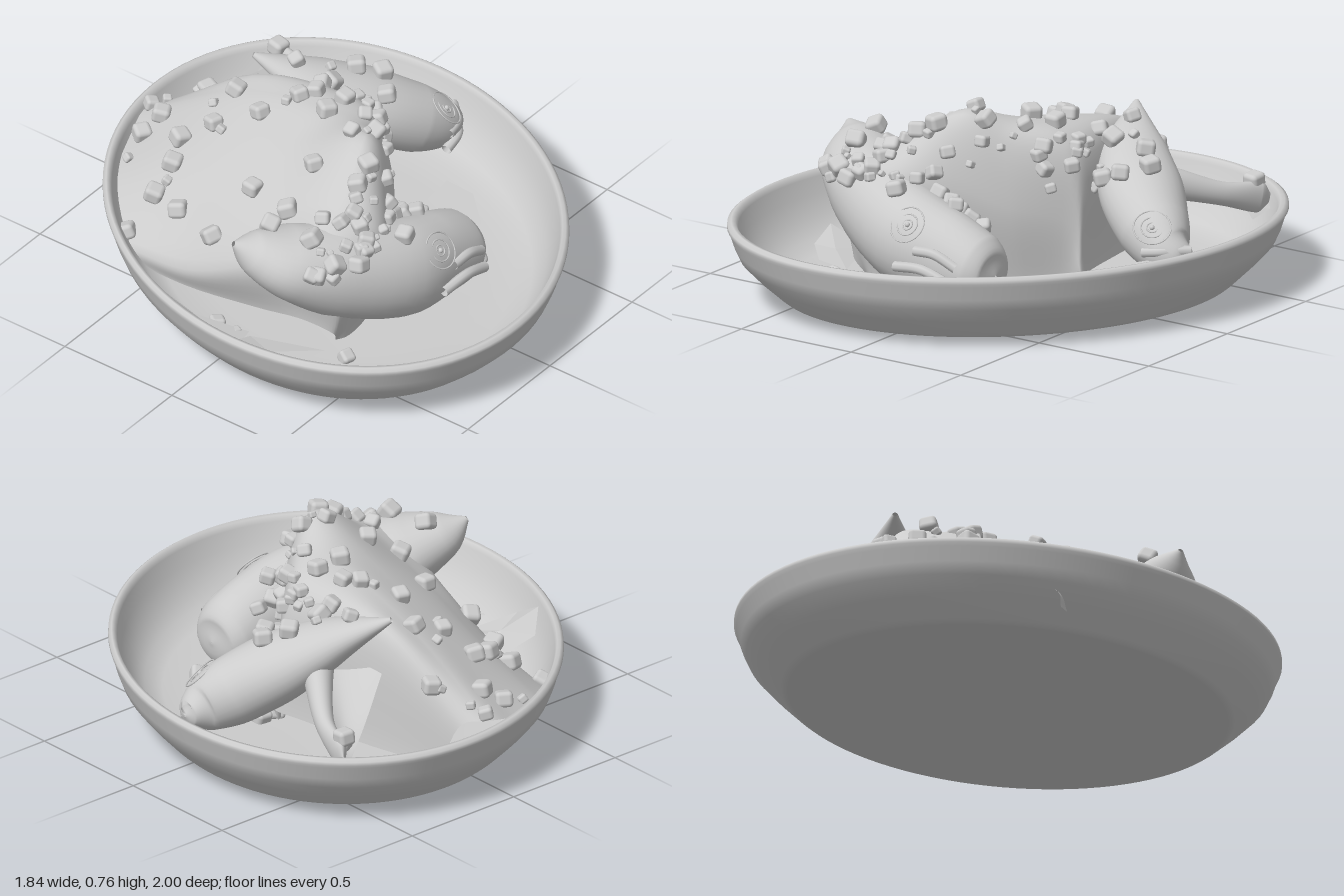
import * as THREE from 'three';
import { ParametricGeometry } from 'three/addons/geometries/ParametricGeometry.js';
import { RoundedBoxGeometry } from 'three/addons/geometries/RoundedBoxGeometry.js';

const V = (x, y, z) => new THREE.Vector3(x, y, z);
const spline = (pts) => new THREE.CatmullRomCurve3(pts.map((p) => V(...p)));

// Smooth sheet through a net of points
function sheetGeometry(rows) {
  const curves = rows.map(spline);
  return new ParametricGeometry((u, v, out) => {
    new THREE.CatmullRomCurve3(curves.map((c) => c.getPoint(u))).getPoint(v, out);
  }, 36, 36);
}

// Round body: each section is [x, y, z, half width, half height]
function bodyGeometry(sections) {
  const spine = spline(sections.map((s) => s.slice(0, 3)));
  const size = spline(sections.map((s) => [s[3], s[4], 0]));
  return new ParametricGeometry((u, v, out) => {
    const c = spine.getPoint(v), r = size.getPoint(v), t = spine.getTangent(v);
    const side = t.clone().cross(V(0, 1, 0)).normalize();
    const up = side.clone().cross(t);
    const a = u * Math.PI * 2;
    out.copy(c).addScaledVector(side, r.x * Math.cos(a)).addScaledVector(up, r.y * Math.sin(a));
  }, 28, 36);
}

export function createModel() {
  const model = new THREE.Group();
  model.name = 'fishDish';
  const grey = new THREE.MeshStandardMaterial({ color: 0xcccccc, side: THREE.DoubleSide });
  grey.name = 'plainGrey';
  const add = (name, geometry, parent = model) => {
    const mesh = new THREE.Mesh(geometry, grey);
    mesh.name = name;
    parent.add(mesh);
    return mesh;
  };
  let seed = 7;
  const rand = () => (seed = (seed * 16807) % 2147483647) / 2147483647;

  // Oval dish, its long axis turned toward the back right
  const profile = [[0, 0], [0.45, 0.006], [0.8, 0.022], [0.815, 0.026], [0.83, 0.038], [0.9, 0.105],
    [0.955, 0.165], [0.975, 0.21], [0.992, 0.265], [1, 0.278], [0.999, 0.292], [0.985, 0.302],
    [0.97, 0.3], [0.96, 0.28], [0.94, 0.22], [0.9, 0.15], [0.84, 0.09], [0.76, 0.065], [0.6, 0.055], [0, 0.05]];
  const dishGeometry = new THREE.LatheGeometry(profile.map((p) => new THREE.Vector2(...p)), 96);
  dishGeometry.scale(1.066, 1, 0.842).rotateY(0.969);
  const dish = add('dish', dishGeometry);

  // Large draped slab: rows run from the back edge over the ridge to the hollow front
  const slab = add('drapedSlab', sheetGeometry([
    [[-0.51, 0.08, -0.59], [-0.51, 0.13, -0.61], [-0.33, 0.21, -0.79], [-0.1, 0.26, -0.89], [0.05, 0.3, -0.92], [0.13, 0.29, -0.86], [0.17, 0.1, -0.78]],
    [[-0.51, 0.08, -0.3], [-0.53, 0.17, -0.3], [-0.3, 0.36, -0.45], [-0.06, 0.49, -0.5], [0.08, 0.55, -0.5], [0.19, 0.56, -0.5], [0.25, 0.1, -0.48]],
    [[-0.48, 0.1, 0], [-0.53, 0.32, 0], [-0.35, 0.46, -0.05], [-0.1, 0.6, -0.1], [0.07, 0.65, -0.1], [0.25, 0.59, -0.15], [0.3, 0.1, -0.15]],
    [[-0.5, 0.16, 0.24], [-0.53, 0.46, 0.26], [-0.3, 0.58, 0.27], [-0.06, 0.72, 0.2], [0.08, 0.65, 0.12], [0.27, 0.55, -0.04], [0.32, 0.1, -0.04]],
    [[-0.46, 0.12, 0.34], [-0.46, 0.38, 0.39], [-0.25, 0.48, 0.4], [-0.01, 0.45, 0.27], [0.13, 0.38, 0.17], [0.28, 0.3, 0], [0.32, 0.1, -0.02]],
    [[-0.42, 0.06, 0.32], [-0.38, 0.06, 0.34], [-0.22, 0.06, 0.32], [-0.01, 0.06, 0.2], [0.13, 0.06, 0.12], [0.26, 0.06, 0], [0.31, 0.06, -0.03]],
  ]));

  // Two whole fish and a loose tail
  const frontFish = add('frontFish', bodyGeometry([
    [-0.69, 0.54, 0.05, 0.01, 0.01], [-0.63, 0.49, 0.09, 0.09, 0.08], [-0.54, 0.43, 0.17, 0.16, 0.13],
    [-0.38, 0.35, 0.29, 0.17, 0.18], [-0.15, 0.27, 0.4, 0.17, 0.19], [0.04, 0.23, 0.42, 0.15, 0.17],
    [0.17, 0.2, 0.42, 0.14, 0.14], [0.23, 0.19, 0.42, 0.1, 0.09], [0.245, 0.19, 0.42, 0.005, 0.005]]));
  const sideFish = add('sideFish', bodyGeometry([
    [0.2, 0.625, -0.54, 0.01, 0.01], [0.33, 0.5, -0.34, 0.13, 0.09], [0.47, 0.39, -0.2, 0.16, 0.13],
    [0.6, 0.3, -0.1, 0.135, 0.13], [0.7, 0.25, -0.05, 0.095, 0.1], [0.77, 0.24, -0.05, 0.05, 0.05],
    [0.79, 0.24, -0.05, 0.005, 0.005]]));
  const tail = add('looseTail', bodyGeometry([
    [0.3, 0.44, -0.24, 0.07, 0.08], [0.45, 0.38, -0.42, 0.05, 0.06], [0.56, 0.32, -0.58, 0.035, 0.045],
    [0.62, 0.28, -0.73, 0.025, 0.06], [0.64, 0.27, -0.77, 0.005, 0.02]]));
  const tailWeb = add('tailWeb', sheetGeometry([
    [[0.2, 0.42, -0.5], [0.32, 0.4, -0.38], [0.4, 0.42, -0.33]],
    [[0.4, 0.29, -0.62], [0.46, 0.29, -0.57], [0.51, 0.34, -0.51]],
    [[0.6, 0.22, -0.75], [0.61, 0.24, -0.74], [0.62, 0.27, -0.72]]]));

  // Finely ringed eyes set onto the skin
  const ray = new THREE.Raycaster();
  const addEye = (name, fish, at, normal) => {
    const n = V(...normal).normalize();
    ray.set(V(...at).addScaledVector(n, 0.6), n.clone().negate());
    const eye = new THREE.Group();
    eye.name = name;
    eye.position.copy(ray.intersectObject(fish)[0].point);
    eye.quaternion.setFromUnitVectors(V(0, 0, 1), n);
    for (const r of [0.07, 0.042, 0.02]) add('eyeRing', new THREE.TorusGeometry(r, 0.003, 6, 32), eye);
    add('pupil', new THREE.SphereGeometry(0.01, 12, 8), eye);
    model.add(eye);
  };
  addEye('frontFishEye', frontFish, [-0.07, 0.35, 0.52], [0, 0.6, 0.8]);
  addEye('sideFishEye', sideFish, [0.65, 0.33, -0.01], [0.4, 0.7, 0.55]);

  // Lips
  const lip = (name, pts) => add(name, new THREE.TubeGeometry(spline(pts), 20, 0.02, 8));
  lip('frontFishUpperLip', [[-0.02, 0.28, 0.565], [0.07, 0.28, 0.565], [0.16, 0.24, 0.555]]);
  lip('frontFishLowerLip', [[-0.1, 0.21, 0.58], [0.03, 0.22, 0.59], [0.15, 0.18, 0.58]]);
  lip('sideFishUpperLip', [[0.64, 0.26, 0.035], [0.71, 0.27, 0.02], [0.79, 0.27, -0.06]]);
  lip('sideFishLowerLip', [[0.62, 0.2, 0.04], [0.7, 0.22, 0.03], [0.77, 0.21, -0.03]]);

  // Thin slices resting on the dish: outlines are [x, z], heights follow the dish below
  const dishPoint = (x, z) => {
    ray.set(V(x, 2, z), V(0, -1, 0));
    return ray.intersectObject(dish)[0].point.add(V(0, 0.008, 0));
  };
  const slice = (name, outline) => {
    const rim = outline.map(([x, z]) => dishPoint(x, z));
    const middle = rim.reduce((sum, p) => sum.add(p), V(0, 0, 0)).divideScalar(rim.length);
    const fan = rim.flatMap((p, i) => [middle, p, rim[(i + 1) % rim.length]]);
    const geometry = new THREE.BufferGeometry().setFromPoints(fan);
    geometry.computeVertexNormals();
    add(name, geometry);
  };
  slice('floorSlice', [[0.36, 0.11], [0.28, 0.2], [0.25, 0.33], [0.35, 0.36], [0.48, 0.31], [0.6, 0.18], [0.61, 0.05], [0.48, 0.06]]);
  slice('frontSlice', [[-0.45, 0.42], [-0.4, 0.52], [-0.3, 0.57], [-0.2, 0.56], [-0.2, 0.4]]);
  slice('leftSlice', [[-0.77, -0.26], [-0.79, -0.12], [-0.69, 0.06], [-0.58, 0.04], [-0.64, -0.2], [-0.71, -0.31]]);
  slice('cornerSlice', [[-0.78, 0.04], [-0.74, 0.2], [-0.64, 0.31], [-0.5, 0.33], [-0.6, 0.06]]);
  slice('rightSlice', [[0.73, -0.57], [0.74, -0.33], [0.78, -0.31], [0.8, -0.4], [0.78, -0.55]]);
  slice('backSlice', [[0.46, -0.86], [0.55, -0.79], [0.65, -0.76], [0.62, -0.8]]);

  // Diced cubes dropped onto whatever lies below
  const ground = [dish, slab, frontFish, sideFish, tail, tailWeb];
  const cubes = new THREE.Group();
  cubes.name = 'dicedCubes';
  const drop = (x, z, size) => {
    ray.set(V(x, 2, z), V(0, -1, 0));
    const hit = ray.intersectObjects(ground)[0];
    const cube = add('cube', new RoundedBoxGeometry(size, size * 0.9, size, 2, size * 0.25), cubes);
    cube.position.copy(hit.point).y += size * 0.25;
    cube.rotation.set(rand() - 0.5, rand() * 3, rand() - 0.5);
  };
  const large = [[0.05, -0.9], [-0.1, -0.83], [-0.02, -0.8], [0.16, -0.72], [-0.48, -0.61], [-0.35, -0.58], [-0.24, -0.58],
    [-0.14, -0.62], [-0.39, -0.44], [-0.08, -0.51], [0.07, -0.52], [-0.02, -0.34], [-0.46, -0.23], [-0.3, -0.16],
    [0.09, -0.24], [0.14, -0.2], [0.05, -0.08], [0.16, -0.08], [-0.36, 0.05], [-0.2, 0.05], [-0.53, 0.1],
    [-0.38, 0.23], [-0.5, 0.27], [-0.57, 0.35], [-0.5, 0.38], [-0.42, 0.43], [-0.36, 0.3], [-0.22, 0.27],
    [-0.14, 0.26], [-0.06, 0.12], [0.02, 0.17], [0, 0.3], [0.02, 0.36], [0.11, 0.31], [0.24, -0.25], [0.28, -0.4],
    [0.3, -0.25], [0.36, -0.1], [0.45, -0.25], [0.52, -0.18], [0.44, -0.1], [0.21, 0.06], [0.28, 0.02], [0.35, 0.02],
    [0.6, -0.73], [0.54, -0.66], [0.72, -0.52], [0.3, 0.43], [-0.62, -0.08], [-0.18, 0.46]];
  large.forEach(([x, z]) => drop(x, z, 0.054 + rand() * 0.018));
  [[-0.21, -0.81], [0.14, -0.75], [-0.3, -0.56], [-0.1, -0.46], [0.01, -0.58], [0.05, -0.27], [0.68, -0.61], [0.08, -0.85],
    [0.36, -0.3], [-0.61, 0]].forEach(([x, z]) => drop(x, z, 0.035));

  // Crumbs gathered along the ridge
  const ridge = spline([[-0.53, 0, 0.37], [-0.3, 0, 0.36], [-0.02, 0, 0.26], [0.2, 0, 0.06], [0.33, 0, -0.15]]);
  for (let i = 0; i < 50; i++) {
    const p = ridge.getPoint(i / 49);
    drop(p.x + (rand() - 0.5) * 0.13, p.z + (rand() - 0.5) * 0.13, 0.024 + rand() * 0.04);
  }
  model.add(cubes);
  return model;
}
